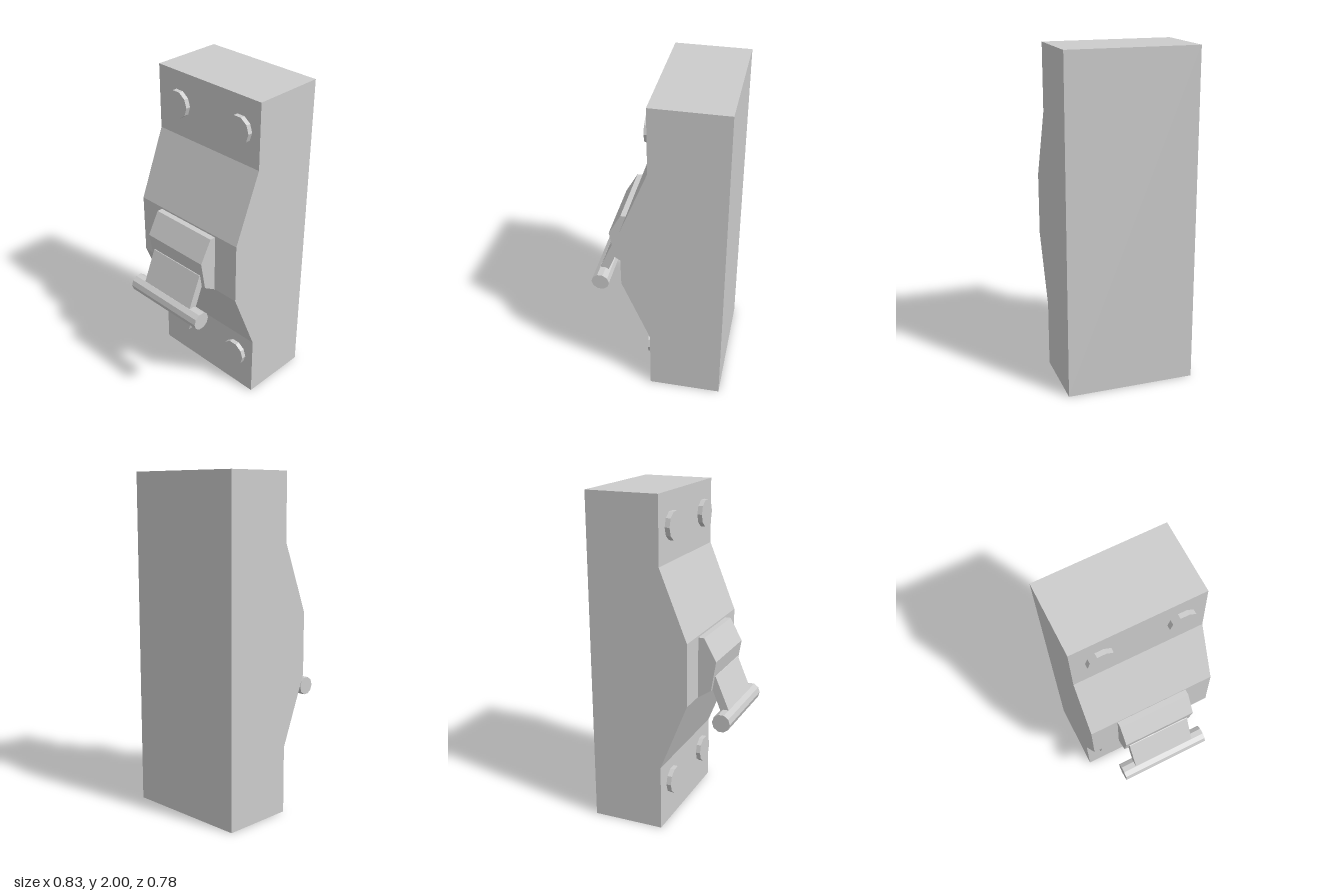
import * as THREE from 'three';

export function createModel() {
  const group = new THREE.Group();
  const grey = new THREE.MeshStandardMaterial({ color: 0xcccccc });
  grey.name = 'grey';

  const add = (name, geometry) => {
    const mesh = new THREE.Mesh(geometry, grey);
    mesh.name = name;
    group.add(mesh);
    return mesh;
  };

  // Side profile in x,y extruded along z, centred on z = 0
  const addProfile = (name, points, depth) => {
    const shape = new THREE.Shape(points.map(([x, y]) => new THREE.Vector2(x, y)));
    const geometry = new THREE.ExtrudeGeometry(shape, { depth, bevelEnabled: false });
    geometry.translate(0, 0, -depth / 2);
    return add(name, geometry);
  };

  // Ten-sided faceted cylinder
  const facetedCylinder = (radius, length) => {
    const geometry = new THREE.CylinderGeometry(radius, radius, length, 10).toNonIndexed();
    geometry.computeVertexNormals();
    return geometry;
  };

  // Housing with a raised middle
  addProfile('housing', [
    [0.413, 0], [0.413, 2], [-0.028, 2], [-0.028, 1.605],
    [-0.195, 1.19], [-0.195, 0.815], [-0.028, 0.4], [-0.028, 0],
  ], 0.776);

  // Angled block that carries the lever
  addProfile('leverMount', [
    [-0.19, 1.18], [-0.23, 1.18], [-0.305, 1.045], [-0.275, 0.865], [-0.19, 0.81],
  ], 0.443);

  // Flat lever arm
  addProfile('leverArm', [
    [-0.376, 0.751], [-0.293, 0.947], [-0.235, 0.963], [-0.34, 0.705],
  ], 0.389);

  // Round grip across the end of the lever
  const grip = add('leverGrip', facetedCylinder(0.055, 0.553).rotateY(Math.PI / 2).rotateX(Math.PI / 2));
  grip.position.set(-0.36, 0.698, -0.001);

  // Four round bolt heads
  for (const y of [0.252, 1.809]) {
    for (const z of [-0.223, 0.248]) {
      const bolt = add('boltHead', facetedCylinder(0.083, 0.039).rotateZ(Math.PI / 2));
      bolt.position.set(-0.0375, y, z);
    }
  }

  return group;
}
